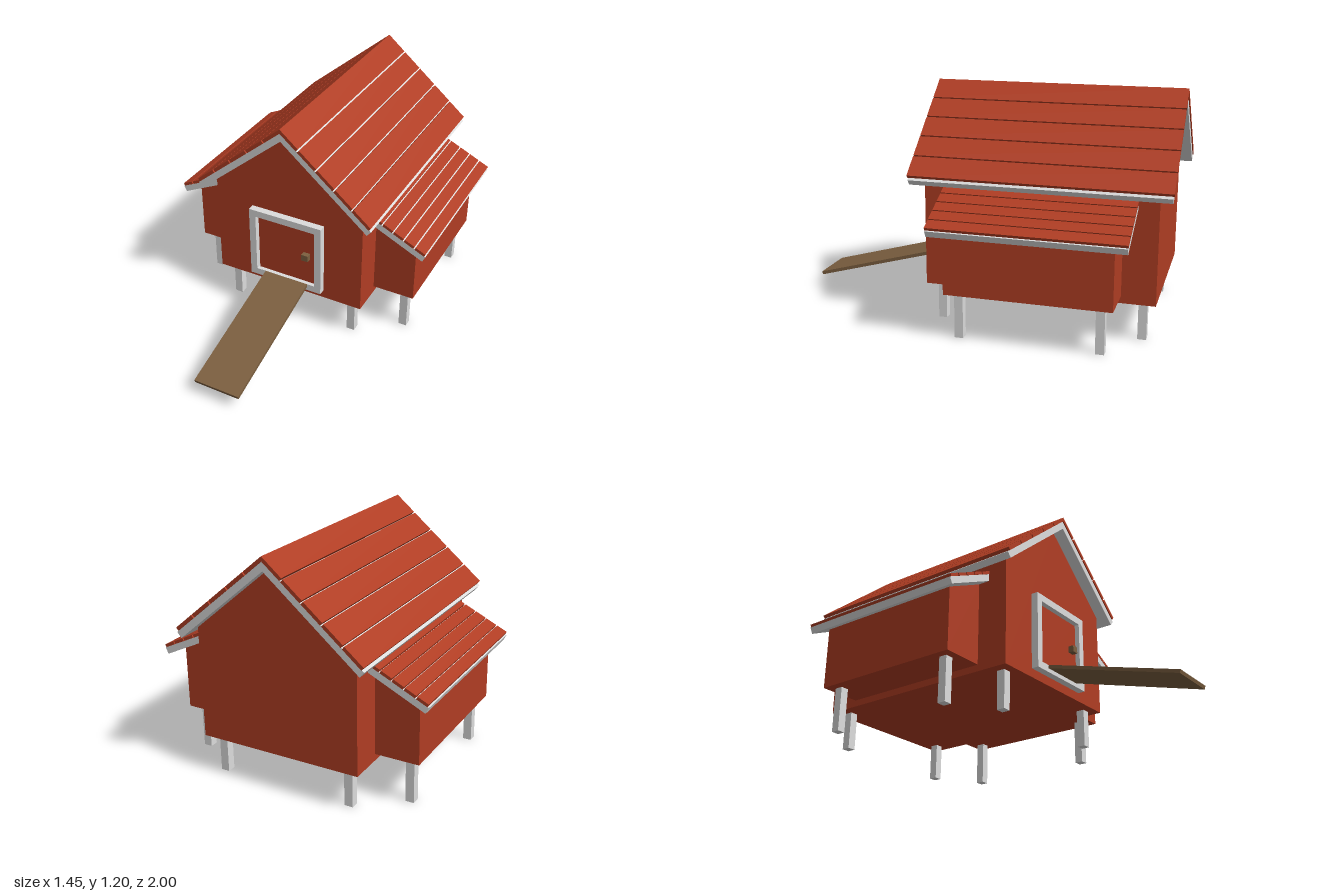
import * as THREE from 'three';

const mat = (name, color) => Object.assign(new THREE.MeshStandardMaterial({ color }), { name });

export function createModel() {
  const model = new THREE.Group();
  model.name = 'chickenCoop';
  const red = mat('barn red', 0xb03d23);
  const white = mat('trim white', 0xdcdcdc);
  const brown = mat('ramp brown', 0x7d6040);

  const add = (name, geometry, material) => {
    const mesh = new THREE.Mesh(geometry, material);
    mesh.name = name;
    model.add(mesh);
    return mesh;
  };
  const box = (name, material, x0, x1, y0, y1, z0, z1) =>
    add(name, new THREE.BoxGeometry(x1 - x0, y1 - y0, z1 - z0), material)
      .position.set((x0 + x1) / 2, (y0 + y1) / 2, (z0 + z1) / 2);
  // Outline in x, y drawn out between two depths; side -1 mirrors it
  const prism = (name, material, points, z0, z1, side = 1, holes = []) => {
    const toVec = ([x, y]) => new THREE.Vector2(x * side, y);
    const shape = new THREE.Shape(points.map(toVec));
    for (const h of holes) shape.holes.push(new THREE.Path(h.map(toVec)));
    const g = new THREE.ExtrudeGeometry(shape, { depth: z1 - z0, bevelEnabled: false });
    g.translate(0, 0, z0);
    add(name, g, material);
  };
  const rect = (x0, x1, y0, y1) => [[x0, y0], [x1, y0], [x1, y1], [x0, y1]];

  // Sloping layer: top line falls from y = top at x = 0; ends are square unless mitred
  const layer = (top, angle, thick, x0, x1, mitre) => {
    const y = (x) => top - x * Math.tan(angle);
    const dx = -Math.sin(angle) * thick, dy = -Math.cos(angle) * thick;
    const inner = mitre ? [x0, y(x0) - thick / Math.cos(angle)] : [x0 + dx, y(x0) + dy];
    return [[x0, y(x0)], inner, [x1 + dx, y(x1) + dy], [x1, y(x1)]];
  };

  // Main house with gable ends
  prism('house', red,
    [[-0.428, 0.2], [0.428, 0.2], [0.428, 0.772], [0, 1.131], [-0.428, 0.772]], -0.93, 0.245);

  const pitch = THREE.MathUtils.degToRad(40);
  const lean = THREE.MathUtils.degToRad(25.5);
  const gap = 0.006;

  for (const side of [1, -1]) {
    // Main roof: white deck and five planks
    prism('roofDeck', white, layer(1.176, pitch, 0.035, 0, 0.5, true), -0.995, 0.31, side);
    for (let i = 0; i < 5; i++) {
      const x0 = i * 0.1 + (i ? gap : 0);
      prism('roofPlank', red, layer(1.2, pitch, 0.018, x0, (i + 1) * 0.1, i === 0), -1, 0.315, side);
    }

    // Nest box on the side
    prism('nestBox', red,
      [[0.42, 0.235], [0.655, 0.235], [0.655, 0.568], [0.42, 0.68]], -0.76, 0.075, side);
    prism('nestRoofDeck', white, layer(0.919, lean, 0.035, 0.42, 0.727, true), -0.828, 0.138, side);
    for (let i = 0; i < 5; i++) {
      const x1 = 0.727 - i * 0.06;
      prism('nestRoofPlank', red,
        layer(0.936, lean, 0.0153, x1 - 0.06 + (i < 4 ? gap : 0), x1, false), -0.83, 0.14, side);
    }

    // Legs
    const leg = (name, x, z, h) =>
      box(name, white, side * x - 0.022, side * x + 0.022, 0, h, z - 0.022, z + 0.022);
    for (const z of [0.177, -0.862]) leg('houseLeg', 0.354, z, 0.2);
    for (const z of [0.01, -0.695]) leg('nestLeg', 0.59, z, 0.235);
  }

  // Door, frame and latch
  prism('doorFrame', white, rect(-0.212, 0.212, 0.247, 0.66), 0.245, 0.284, 1,
    [rect(-0.174, 0.174, 0.285, 0.622)]);
  box('door', red, -0.168, 0.168, 0.285, 0.616, 0.245, 0.262);
  box('latch', brown, 0.102, 0.14, 0.438, 0.473, 0.262, 0.291);

  // Ramp from the door sill to the ground
  const ramp = add('ramp', new THREE.BoxGeometry(0.254, 0.018, 0.742), brown);
  ramp.position.set(0.006, 0.178, 0.64);
  ramp.rotation.x = Math.atan2(0.2, 0.718);

  return model;
}
